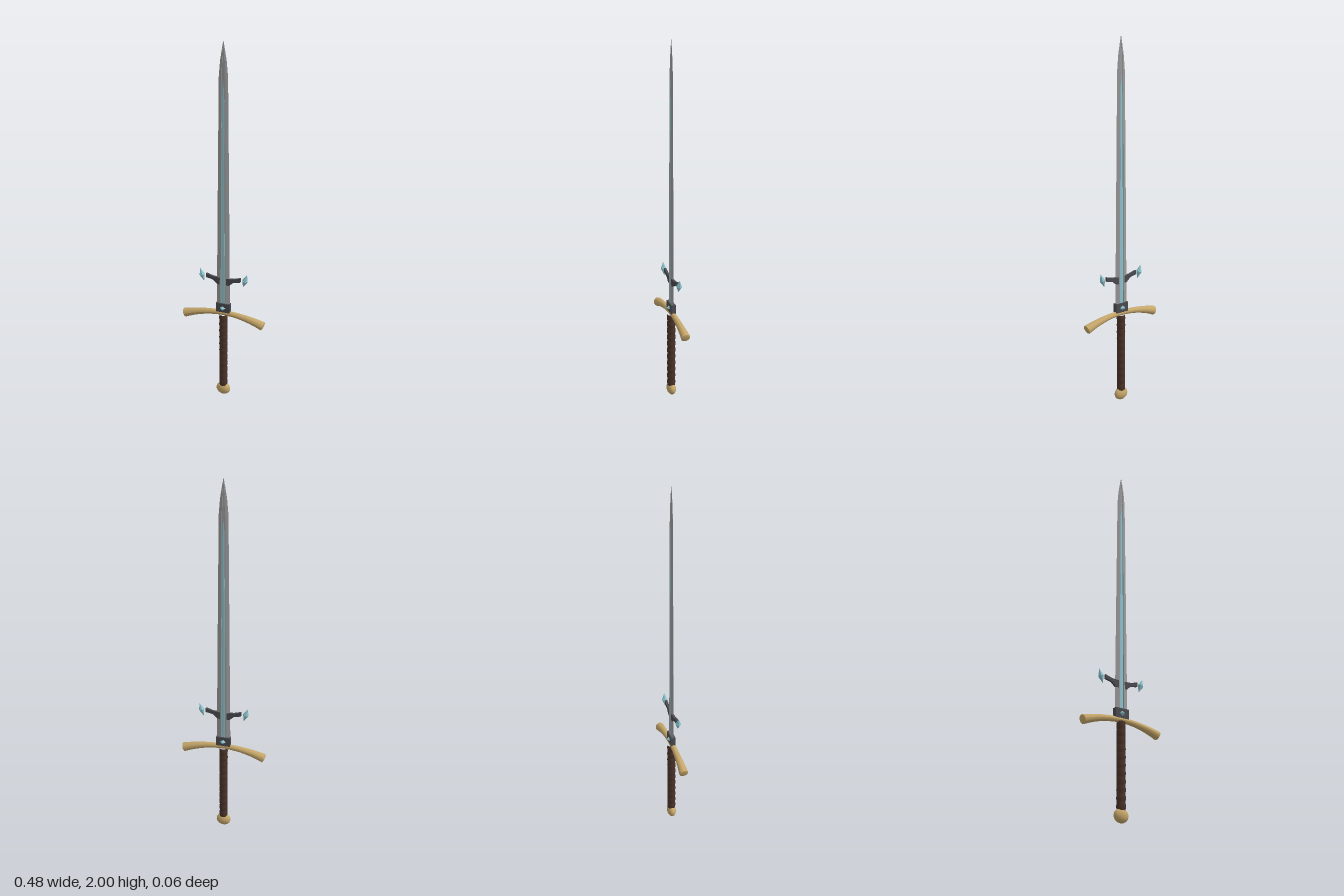
import * as THREE from 'three';

const mat = (color, flat = false) => new THREE.MeshStandardMaterial({ color, flatShading: flat });
const gold = mat(0xc6a76a);
const leather = mat(0x4a3329);
const steel = mat(0x9b9b9d, true);
const iron = mat(0x4b4b50, true);
const crystal = mat(0x8cc3cd, true);

const v2 = (x, y) => new THREE.Vector2(x, y);

function part(parent, name, geometry, material) {
  const mesh = new THREE.Mesh(geometry, material);
  mesh.name = name;
  parent.add(mesh);
  return mesh;
}

// Skin a stack of rings; each ring runs from +x towards +z
function loft(rings) {
  const n = rings[0].length;
  const index = [];
  for (let i = 0; i < rings.length - 1; i++) {
    for (let j = 0; j < n; j++) {
      const a = i * n + j, b = i * n + (j + 1) % n;
      index.push(a, a + n, b, b, a + n, b + n);
    }
  }
  const geo = new THREE.BufferGeometry();
  geo.setAttribute('position', new THREE.Float32BufferAttribute(rings.flat(2), 3));
  geo.setIndex(index);
  geo.computeVertexNormals();
  return geo;
}

// Mirror a quarter section (from the edge to near the middle) into a full ring
function ring(quarter, y) {
  const front = [...quarter, ...quarter.slice().reverse().map(([x, z]) => [-x, z])];
  const back = front.slice(1, -1).reverse().map(([x, z]) => [x, -z]);
  // the back half runs from -x round to +x
  return [...front, ...back].map(([x, z]) => [x, y, z]);
}

// Blade stations: height, half width, half thickness
const stations = [
  [0.54, 0.039, 0.008], [1.2, 0.032, 0.007], [1.82, 0.025, 0.005],
  [1.9, 0.018, 0.004], [1.96, 0.008, 0.0025], [2.0, 0.0004, 0.0003],
];

function createBlade() {
  const blade = new THREE.Group();
  blade.name = 'blade';
  // Double-edged body with a groove down each face
  part(blade, 'bladeBody', loft(stations.map(([y, w, t]) => ring(
    [[w, 0], [w * 0.5, t * 0.85], [w * 0.34, t], [w * 0.28, t * 0.5]], y))), steel);
  // Glowing inlay in the groove
  const inlay = [[0.56, 0.0105, 0.0055], [1.2, 0.0085, 0.005], [1.7, 0.006, 0.004], [1.84, 0.0005, 0.002]];
  part(blade, 'bladeInlay', loft(inlay.map(([y, w, t]) => ring([[w, 0], [w, t * 0.85], [w * 0.3, t]], y))), crystal);
  return blade;
}

// Curved crossguard, a tube flaring towards both ends
function createGuard() {
  const curve = new THREE.QuadraticBezierCurve3(
    new THREE.Vector3(-0.23, 0.479, 0), new THREE.Vector3(0, 0.561, 0), new THREE.Vector3(0.23, 0.479, 0));
  const segs = 32, sides = 16;
  const geo = new THREE.TubeGeometry(curve, segs, 1, sides, false);
  const pos = geo.attributes.position;
  const p = new THREE.Vector3(), c = new THREE.Vector3();
  for (let i = 0; i < pos.count; i++) {
    const u = Math.floor(i / (sides + 1)) / segs;
    const s = Math.abs(2 * u - 1);
    curve.getPointAt(u, c);
    p.fromBufferAttribute(pos, i).sub(c).multiplyScalar(0.014 + 0.011 * Math.pow(s, 1.8)).add(c);
    pos.setXYZ(i, p.x, p.y, p.z);
  }
  geo.computeVertexNormals();
  const guard = new THREE.Group();
  guard.name = 'crossguard';
  part(guard, 'guardBar', geo, gold);
  // Slightly domed ends
  for (const u of [0, 1]) {
    const dome = part(guard, 'guardEnd', new THREE.SphereGeometry(0.025, 16, 6, 0, Math.PI * 2, 0, Math.PI / 2), gold);
    const dir = curve.getTangentAt(u).multiplyScalar(u ? 1 : -1);
    dome.position.copy(curve.getPointAt(u));
    dome.quaternion.setFromUnitVectors(new THREE.Vector3(0, 1, 0), dir);
    dome.scale.y = 0.2;
  }
  return guard;
}

// Side spur with a floating crystal at its tip
function createSpur() {
  const spur = new THREE.Group();
  const outline = new THREE.Shape([
    v2(0.015, 0.69), v2(0.035, 0.692), v2(0.06, 0.714), v2(0.1, 0.722),
    v2(0.1, 0.745), v2(0.06, 0.733), v2(0.015, 0.73)]);
  const geo = new THREE.ExtrudeGeometry(outline, { depth: 0.013, bevelEnabled: false });
  part(spur, 'spurArm', geo.translate(0, 0, -0.0065), iron);
  const shard = part(spur, 'spurCrystal',
    new THREE.LatheGeometry([v2(0, -0.039), v2(0.016, 0), v2(0, 0.039)], 6, Math.PI / 2), crystal);
  shard.position.set(0.125, 0.732, 0);
  shard.rotation.z = -0.3;
  return spur;
}

export function createModel() {
  const sword = new THREE.Group();
  sword.name = 'sword';
  sword.add(createBlade(), createGuard());

  for (const side of ['left', 'right']) {
    const spur = createSpur();
    spur.name = side + 'Spur';
    if (side === 'right') spur.rotation.y = Math.PI;
    sword.add(spur);
  }

  // Collar block at the blade root, with a gem through it
  part(sword, 'collar', new THREE.BoxGeometry(0.08, 0.052, 0.026), iron).position.y = 0.553;
  const gem = part(sword, 'collarGem', new THREE.OctahedronGeometry(1), crystal);
  gem.position.y = 0.552;
  gem.scale.set(0.03, 0.024, 0.03);

  // Ridged leather grip
  const ridges = 11, steps = ridges * 8, profile = [];
  for (let i = 0; i <= steps; i++) {
    const r = 0.0215 + 0.002 * Math.abs(Math.sin((i / steps) * ridges * Math.PI));
    profile.push(v2(r, 0.06 + (i / steps) * 0.45));
  }
  part(sword, 'grip', new THREE.LatheGeometry(profile, 20), leather);

  // Flattened round pommel
  const pommel = part(sword, 'pommel', new THREE.SphereGeometry(1, 24, 16), gold);
  pommel.position.y = 0.036;
  pommel.scale.set(0.041, 0.036, 0.025);

  return sword;
}
